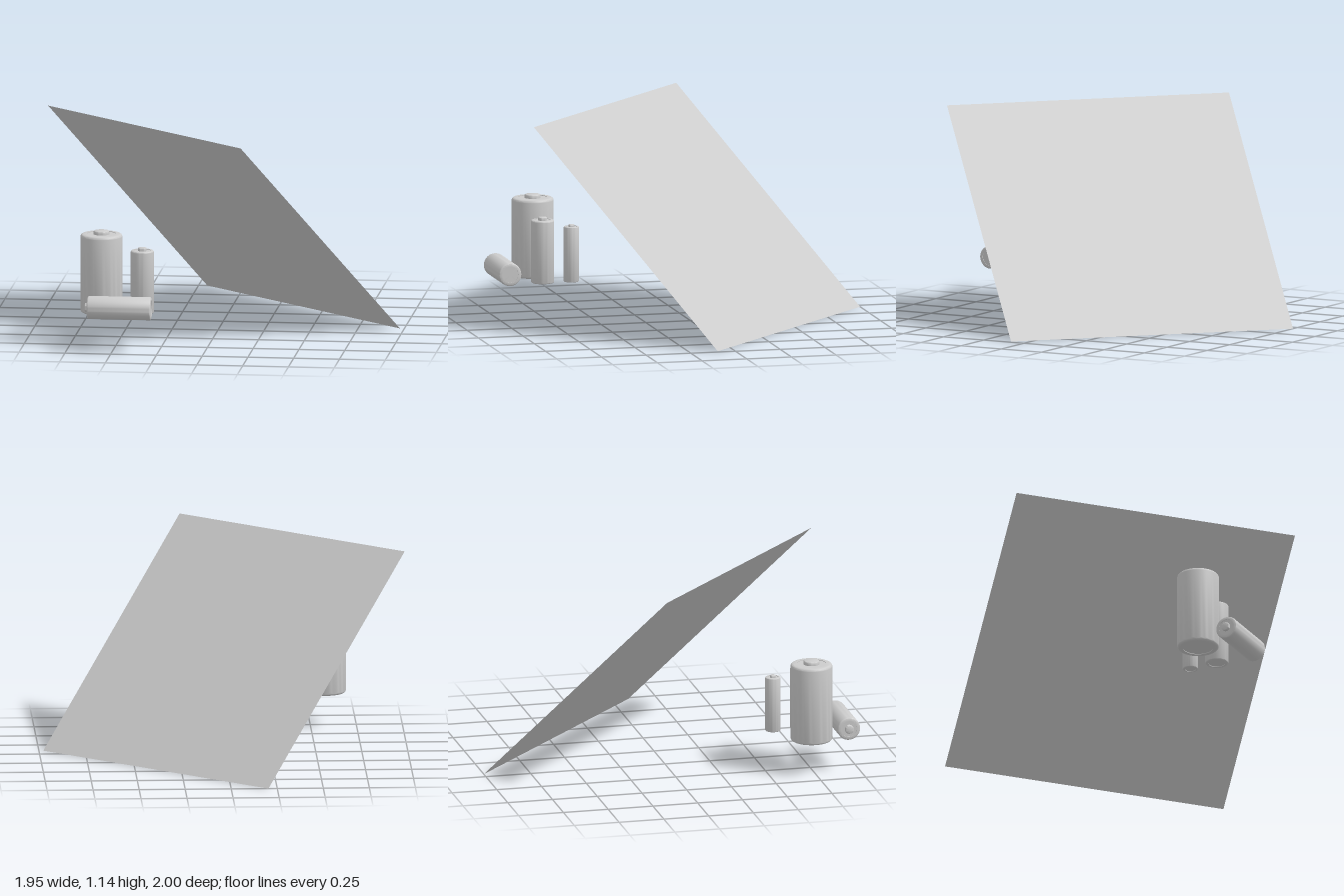
import * as THREE from 'three';
import { toCreasedNormals } from 'three/addons/utils/BufferGeometryUtils.js';

const grey = new THREE.MeshStandardMaterial({ color: 0xcccccc });
const greyDouble = new THREE.MeshStandardMaterial({ color: 0xcccccc, side: THREE.DoubleSide });

// One dry cell standing on y = 0: rounded can, flat base contact, raised cap contact
function makeCell(name, radius, height, capRadius, capHeight) {
  const group = new THREE.Group();
  group.name = name;
  const bevel = radius * 0.14;
  const ring = radius * 0.7;
  const dip = 0.003;
  const points = [new THREE.Vector2(0, dip), new THREE.Vector2(ring, dip), new THREE.Vector2(ring, 0)];
  const arc = (cy, from) => {
    for (let i = 0; i <= 5; i++) {
      const a = from + (i / 5) * Math.PI / 2;
      points.push(new THREE.Vector2(radius - bevel + Math.cos(a) * bevel, cy + Math.sin(a) * bevel));
    }
  };
  arc(bevel, -Math.PI / 2);
  arc(height - bevel, 0);
  points.push(new THREE.Vector2(ring, height), new THREE.Vector2(ring, height - dip), new THREE.Vector2(0, height - dip));
  const can = new THREE.Mesh(toCreasedNormals(new THREE.LatheGeometry(points, 48), 0.6), grey);
  can.name = 'can';

  // Positive contact with a softened rim
  const soft = capHeight * 0.3;
  const top = height + capHeight;
  const capProfile = [
    [capRadius, height - dip], [capRadius, top - soft],
    [capRadius - soft * 0.3, top - soft * 0.3], [capRadius - soft, top], [0, top],
  ].map(([x, y]) => new THREE.Vector2(x, y));
  const cap = new THREE.Mesh(toCreasedNormals(new THREE.LatheGeometry(capProfile, 32), 0.9), grey);
  cap.name = 'positiveContact';
  group.add(can, cap);
  return group;
}

export function createModel() {
  const model = new THREE.Group();
  model.name = 'batterySet';
  const floor = 0.181;

  // Three standing cells
  const standing = [
    ['largeCell', -0.58, 0.738, 0.114, 0.434, 0.043, 0.017],
    ['mediumCell', -0.357, 0.738, 0.063, 0.347, 0.024, 0.015],
    ['smallCell', -0.357, 0.577, 0.042, 0.304, 0.016, 0.011],
  ];
  for (const [name, x, z, ...size] of standing) {
    const cell = makeCell(name, ...size);
    cell.position.set(x, floor, z);
    model.add(cell);
  }

  // Cell lying on its side, cap towards -x
  const lying = makeCell('lyingCell', 0.063, 0.347, 0.024, 0.015);
  lying.rotation.z = Math.PI / 2;
  lying.position.set(-0.286, floor + 0.063, 0.936);
  model.add(lying);

  // Tilted square panel, oriented by its two edge directions
  const across = new THREE.Vector3(1.178, 0, 1.093).normalize();
  const down = new THREE.Vector3(0.775, -1.14, -0.835).normalize();
  const normal = new THREE.Vector3().crossVectors(down, across).normalize();
  const up = new THREE.Vector3().crossVectors(normal, across);
  const panel = new THREE.Mesh(new THREE.PlaneGeometry(1.607, 1.61), greyDouble);
  panel.name = 'tiltedPanel';
  panel.quaternion.setFromRotationMatrix(new THREE.Matrix4().makeBasis(across, up, normal));
  panel.position.set(0, 0.57, -0.036);
  model.add(panel);

  return model;
}
